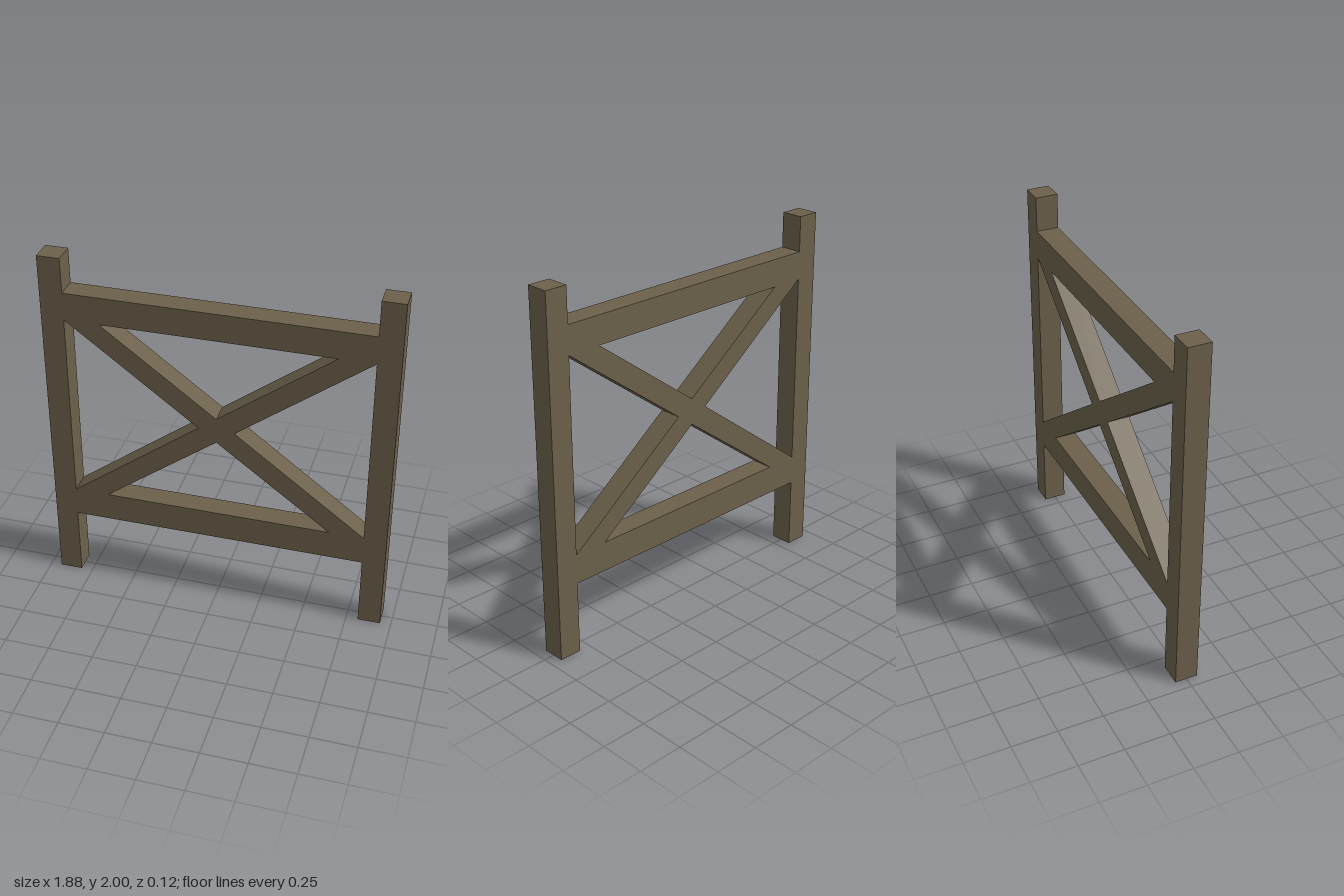
import * as THREE from 'three';

const DEPTH = 0.125;
const POST_WIDTH = 0.125;
const INNER = 0.815; // half the gap between the posts
const RAIL_LOW = [0.405, 0.57];
const RAIL_HIGH = [1.65, 1.805];

export function createModel() {
  const group = new THREE.Group();
  group.name = 'fencePanel';
  const wood = new THREE.MeshStandardMaterial({ color: 0x6b604a, flatShading: true });

  const add = (name, geometry, x = 0, y = 0, z = 0) => {
    const mesh = new THREE.Mesh(geometry, wood);
    mesh.name = name;
    mesh.position.set(x, y, z);
    group.add(mesh);
  };

  // Square posts
  for (const [name, side] of [['leftPost', 1], ['rightPost', -1]]) {
    add(name, new THREE.BoxGeometry(POST_WIDTH, 2, DEPTH), side * (INNER + POST_WIDTH / 2), 1);
  }

  // Horizontal rails between the posts
  for (const [name, [bottom, top]] of [['bottomRail', RAIL_LOW], ['topRail', RAIL_HIGH]]) {
    add(name, new THREE.BoxGeometry(INNER * 2, top - bottom, DEPTH), 0, (bottom + top) / 2);
  }

  // Crossed braces as one X outline, flush with the rails
  const low = RAIL_LOW[1], high = RAIL_HIGH[0], mid = (low + high) / 2;
  const toe = 0.625, waistX = 0.098, waistY = 0.073;
  const outline = [
    [-INNER, low], [-toe, low], [0, mid - waistY], [toe, low], [INNER, low], [waistX, mid],
    [INNER, high], [toe, high], [0, mid + waistY], [-toe, high], [-INNER, high], [-waistX, mid],
  ].map(([x, y]) => new THREE.Vector2(x, y));
  const cross = new THREE.ExtrudeGeometry(new THREE.Shape(outline), { depth: DEPTH, bevelEnabled: false });
  add('crossBrace', cross, 0, 0, -DEPTH / 2);

  return group;
}
